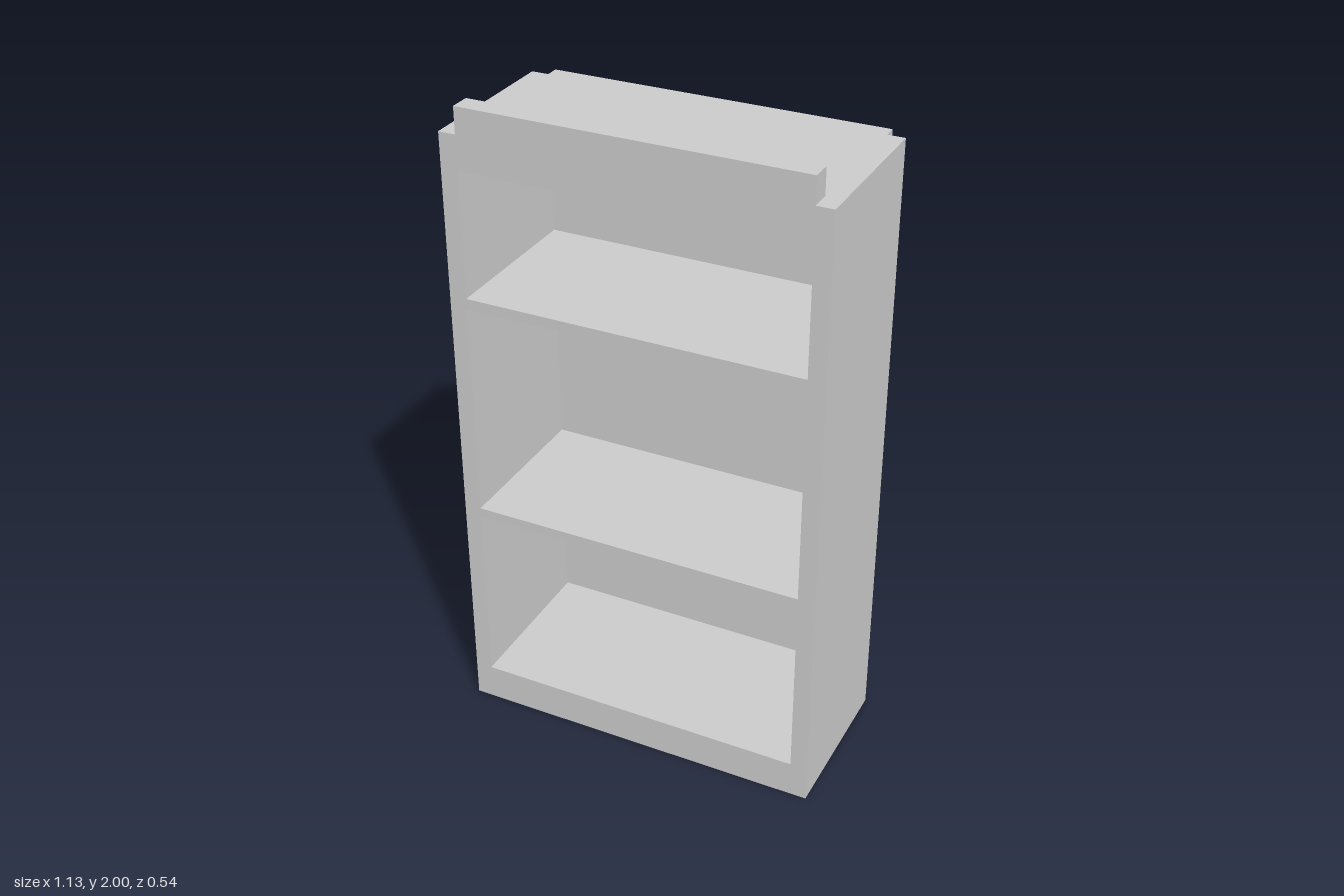
import * as THREE from 'three';

const WIDTH = 1.135, HEIGHT = 1.92;     // carcass outline
const INNER = 1.03;                     // clear width between the sides
const FRONT = 0.272, REAR = -0.23, BACK = -0.272;
const OPENINGS = [[0.115, 0.693], [0.724, 1.397], [1.43, 1.815]]; // bottom and top of each bay

const material = new THREE.MeshStandardMaterial({ color: 0xcccccc });

function rectangle(PathType, width, y0, y1) {
  const w = width / 2;
  return new PathType([
    new THREE.Vector2(-w, y0), new THREE.Vector2(w, y0),
    new THREE.Vector2(w, y1), new THREE.Vector2(-w, y1),
  ]);
}

function addMesh(group, name, geometry) {
  const mesh = new THREE.Mesh(geometry, material);
  mesh.name = name;
  group.add(mesh);
  return mesh;
}

function addBoard(group, name, width, y0, y1, z0, z1) {
  const board = addMesh(group, name, new THREE.BoxGeometry(width, y1 - y0, z1 - z0));
  board.position.set(0, (y0 + y1) / 2, (z0 + z1) / 2);
}

export function createModel() {
  const group = new THREE.Group();
  group.name = 'bookcase';

  // Sides, shelves, base and top as one frame with three open bays
  const outline = rectangle(THREE.Shape, WIDTH, 0, HEIGHT);
  for (const [y0, y1] of OPENINGS) outline.holes.push(rectangle(THREE.Path, INNER, y0, y1));
  const frame = new THREE.ExtrudeGeometry(outline, { depth: FRONT - REAR, bevelEnabled: false });
  addMesh(group, 'shelfFrame', frame.translate(0, 0, REAR));

  // Back panel, narrower than the frame
  addBoard(group, 'backPanel', INNER, 0, HEIGHT, BACK, REAR);

  // Raised rail along the front of the top
  addBoard(group, 'topRail', INNER, HEIGHT, 2, 0.208, FRONT);

  return group;
}
